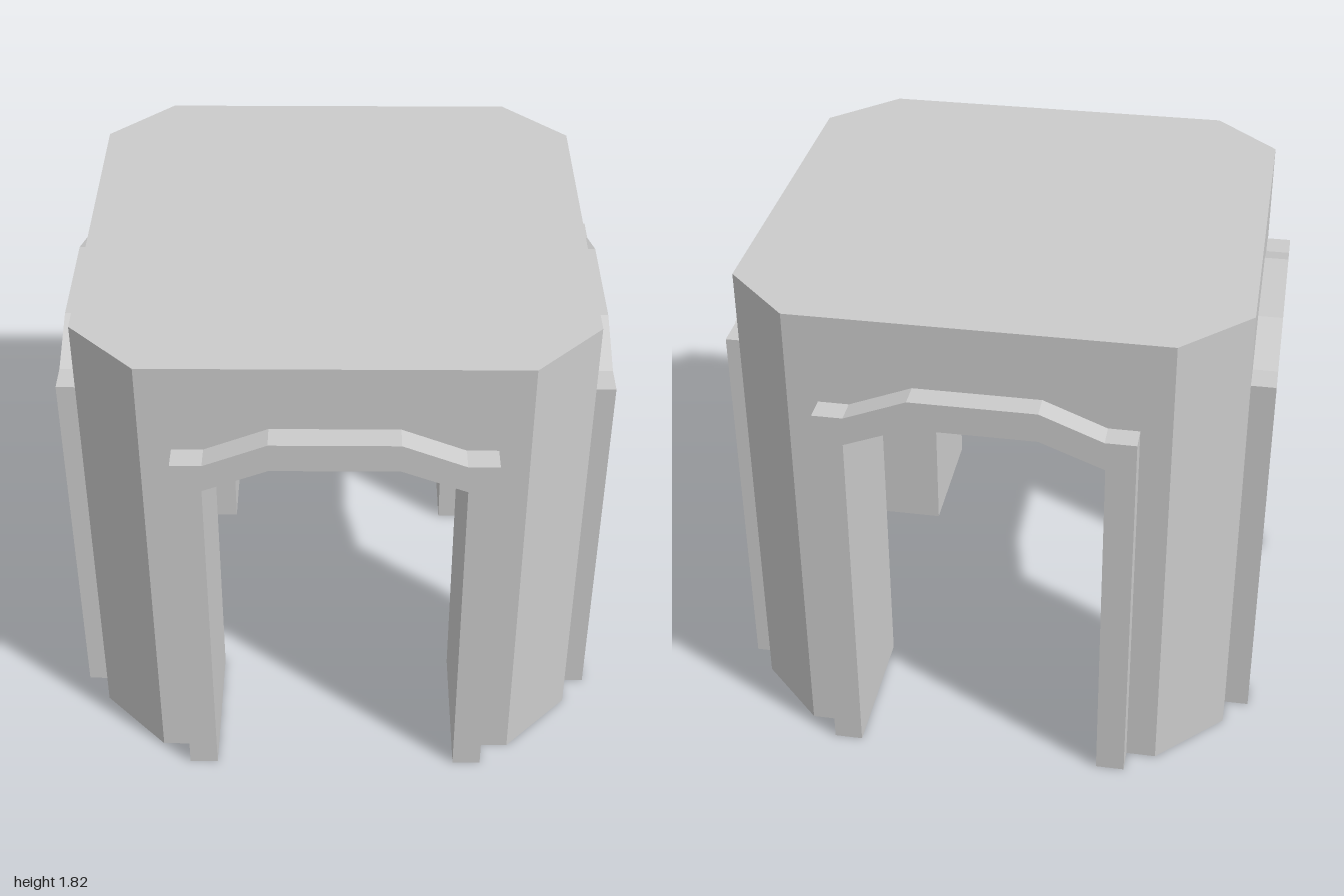
import * as THREE from 'three';

const H = 1.82, WALL = 0.91, CUT = 0.67, FRONT = 1.0;
const material = new THREE.MeshStandardMaterial({ color: 0xcccccc, flatShading: true });

// Arch outlines, from the left foot over the crown to the right foot
const mirrorArch = (half, crown) => [...half, ...crown, ...half.map(([x, y]) => [-x, y]).reverse()];
const opening = mirrorArch([[-0.455, 0], [-0.455, 1.37], [-0.225, 1.46]], [[0, 1.46]]);
const trimEdge = mirrorArch([[-0.56, 0], [-0.56, 1.48], [-0.45, 1.48], [-0.225, 1.57]], []);

function flat(points) {
  return new THREE.ShapeGeometry(new THREE.Shape(points.map(([x, y]) => new THREE.Vector2(x, y))));
}

// Faceted strip following an outline, from depth back(x) to the trim's front
function strip(points, back) {
  const pos = [];
  for (let i = 0; i < points.length - 1; i++) {
    const [ax, ay] = points[i], [bx, by] = points[i + 1];
    const a = [ax, ay, back(ax)], b = [bx, by, back(bx)];
    const c = [bx, by, FRONT], d = [ax, ay, FRONT];
    pos.push(...a, ...b, ...d, ...b, ...c, ...d);
  }
  const g = new THREE.BufferGeometry();
  g.setAttribute('position', new THREE.Float32BufferAttribute(pos, 3));
  g.computeVertexNormals();
  return g;
}

export function createModel() {
  const model = new THREE.Group();
  const add = (parent, name, geometry) => {
    const mesh = new THREE.Mesh(geometry, material);
    mesh.name = name;
    parent.add(mesh);
  };

  // Parts of one side, repeated around the block
  const wall = flat([[-CUT, 0], ...trimEdge, [CUT, 0], [CUT, H], [-CUT, H]]).translate(0, 0, WALL);
  const trimFace = flat([...trimEdge, ...[...opening].reverse()]).translate(0, 0, FRONT);
  const trimReturn = strip([...trimEdge].reverse(), () => WALL);
  // The tunnels meet along the diagonals, forming a groin vault
  const vault = strip(opening, Math.abs);
  const corner = new THREE.PlaneGeometry((WALL - CUT) * Math.SQRT2, H)
    .rotateY(Math.PI / 4).translate((WALL + CUT) / 2, H / 2, (WALL + CUT) / 2);
  const foot = flat([
    [0.455, 0.455], [FRONT, 0.455], [FRONT, 0.56], [WALL, 0.56], [WALL, CUT],
    [CUT, WALL], [0.56, WALL], [0.56, FRONT], [0.455, FRONT],
  ]).rotateX(Math.PI / 2);

  for (let i = 0; i < 4; i++) {
    const side = new THREE.Group();
    side.name = 'archedSide';
    side.rotation.y = i * Math.PI / 2;
    add(side, 'wall', wall);
    add(side, 'archTrimFace', trimFace);
    add(side, 'archTrimEdge', trimReturn);
    add(side, 'vault', vault);
    add(side, 'cornerChamfer', corner);
    add(side, 'pierFoot', foot);
    model.add(side);
  }

  // Flat roof with cut corners
  add(model, 'roof', flat([
    [-CUT, -WALL], [CUT, -WALL], [WALL, -CUT], [WALL, CUT],
    [CUT, WALL], [-CUT, WALL], [-WALL, CUT], [-WALL, -CUT],
  ]).rotateX(-Math.PI / 2).translate(0, H, 0));

  return model;
}
